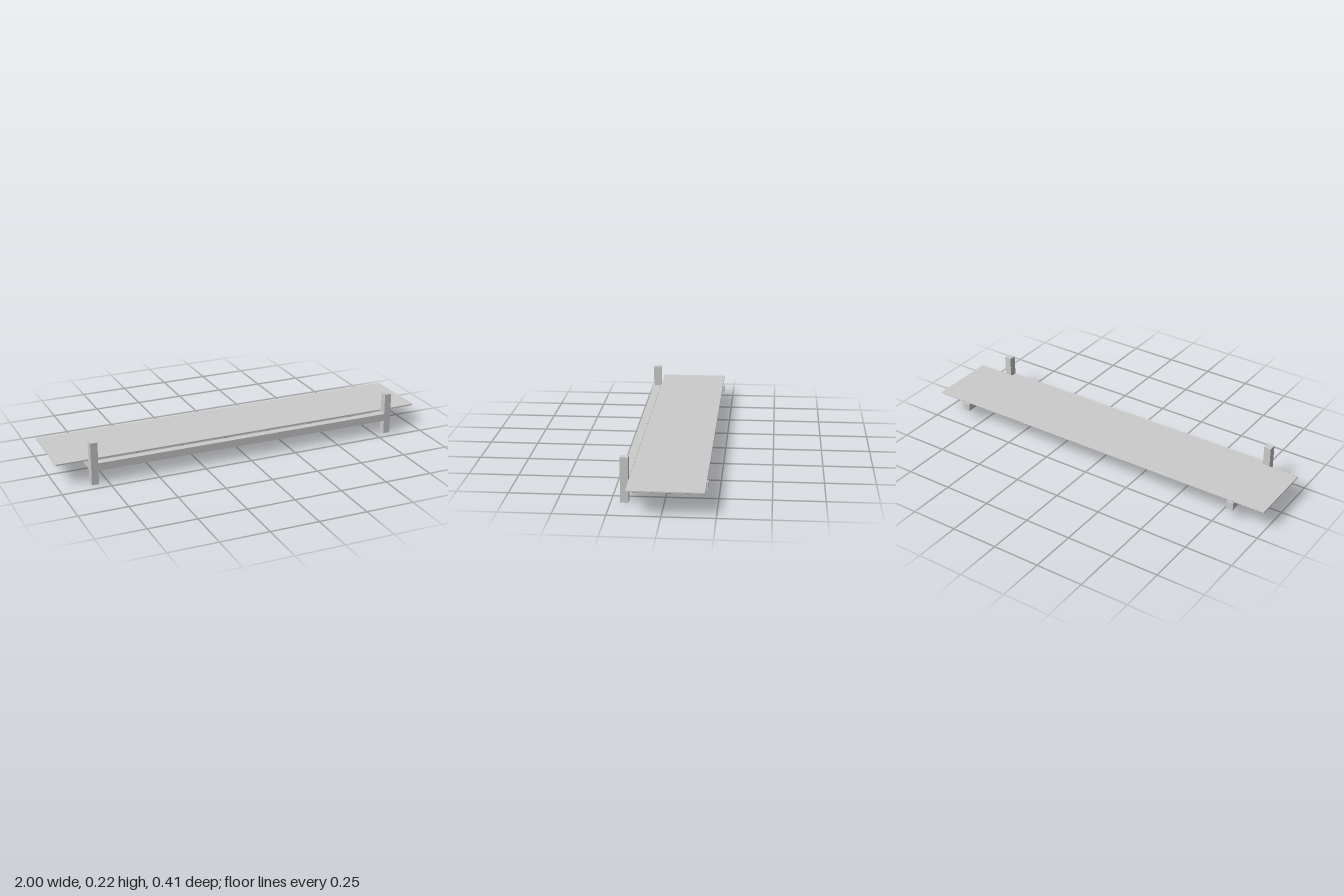
import * as THREE from 'three';
import { RoundedBoxGeometry } from 'three/addons/geometries/RoundedBoxGeometry.js';

export function createModel() {
  const group = new THREE.Group();
  const material = new THREE.MeshStandardMaterial({ color: 0xcccccc });

  // Adds a mesh centred in the given min/max ranges
  function add(name, [x0, x1], [y0, y1], [z0, z1], bevel = 0) {
    const size = [x1 - x0, y1 - y0, z1 - z0];
    const geometry = bevel
      ? new RoundedBoxGeometry(...size, 1, bevel)
      : new THREE.BoxGeometry(...size);
    const mesh = new THREE.Mesh(geometry, material);
    mesh.name = name;
    mesh.position.set((x0 + x1) / 2, (y0 + y1) / 2, (z0 + z1) / 2);
    group.add(mesh);
  }

  const inner = 0.8, outer = 0.837;
  const beamY = [0.071, 0.111];
  const postZ = [0.166, 0.205];

  // Thin board with softened edges, just clear of the frame
  add('shelfBoard', [-1, 1], [0.114, 0.122], [-0.199, 0.162], 0.0015);

  // Front rail between the posts
  add('frontRail', [-inner, inner], beamY, postZ);

  // Upright post and backward arm on each side
  for (const [side, label] of [[1, 'left'], [-1, 'right']]) {
    const x = side > 0 ? [inner, outer] : [-outer, -inner];
    add(label + 'Post', x, [0, 0.221], postZ);
    add(label + 'Arm', x, beamY, [-0.205, postZ[0]]);
  }

  return group;
}
